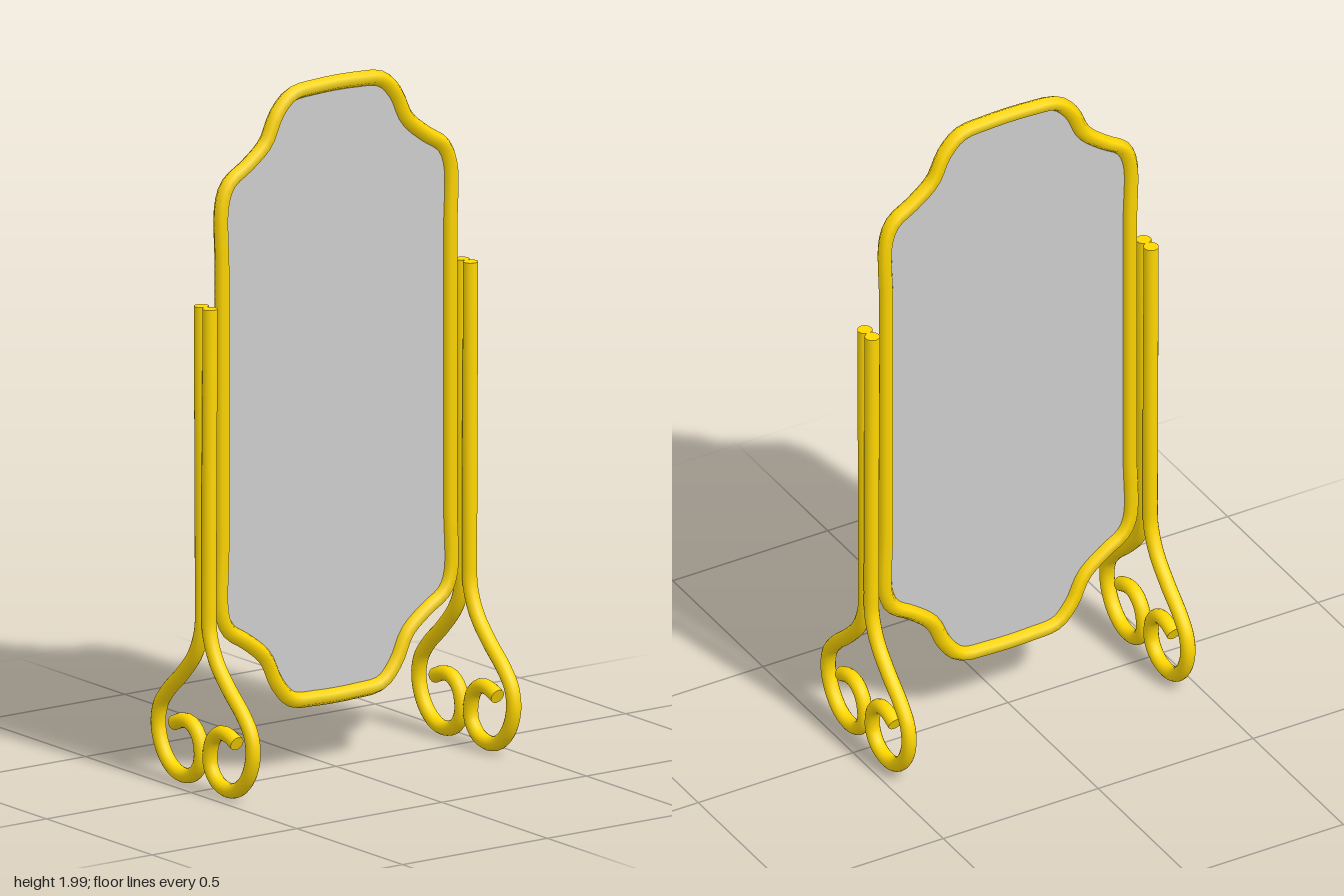
import * as THREE from 'three';
import { ParametricGeometry } from 'three/addons/geometries/ParametricGeometry.js';

const gold = new THREE.MeshStandardMaterial({ color: 0xffd700 });
const grey = new THREE.MeshStandardMaterial({ color: 0xcccccc, side: THREE.DoubleSide });

// Upper right quarter and lower right quarter of the frame outline, as [z, y]
const UPPER = [[0.394, 1.2], [0.394, 1.5], [0.394, 1.69], [0.37, 1.745], [0.31, 1.785], [0.245, 1.84],
  [0.205, 1.92], [0.155, 1.967], [0.07, 1.978]];
const LOWER = [[0.07, 0.217], [0.155, 0.227], [0.205, 0.28], [0.245, 0.36], [0.31, 0.415], [0.37, 0.455],
  [0.394, 0.505], [0.394, 0.7], [0.394, 0.95]];

// One scrolled rod of the stand, from its top down to the curl, as [x, y]
const ROD = [[0.0205, 1.4], [0.0195, 1.2], [0.017, 0.95], [0.016, 0.7], [0.0155, 0.55], [0.019, 0.465],
  [0.05, 0.39], [0.11, 0.322], [0.178, 0.26], [0.215, 0.21], [0.224, 0.15], [0.2, 0.085], [0.155, 0.043],
  [0.105, 0.031], [0.055, 0.045], [0.025, 0.08], [0.021, 0.12], [0.036, 0.163], [0.07, 0.188],
  [0.11, 0.188], [0.148, 0.173]];

function addMesh(parent, name, geometry, material) {
  const mesh = new THREE.Mesh(geometry, material);
  mesh.name = name;
  parent.add(mesh);
  return mesh;
}

function outlineCurve() {
  const mirror = (list) => list.map(([z, y]) => [-z, y]).reverse();
  const loop = [...UPPER, ...mirror(UPPER), ...mirror(LOWER), ...LOWER];
  return new THREE.CatmullRomCurve3(loop.map(([z, y]) => new THREE.Vector3(0, y, z)), true);
}

// Six-sided bar swept round a closed curve in the yz plane, one corner facing outward
function frameGeometry(curve, radius) {
  const p = new THREE.Vector3();
  const t = new THREE.Vector3();
  return new ParametricGeometry((u, v, target) => {
    curve.getPointAt(v, p);
    curve.getTangentAt(v, t);
    const out = radius * Math.cos(u * Math.PI * 2);
    target.set(radius * Math.sin(u * Math.PI * 2), p.y - t.z * out, p.z + t.y * out);
  }, 6, 180);
}

// Round rod with closed ends
function addRod(parent, side, radius) {
  const rod = new THREE.Group();
  rod.name = side > 0 ? 'leftScrollRod' : 'rightScrollRod';
  const curve = new THREE.CatmullRomCurve3(ROD.map(([x, y]) => new THREE.Vector3(side * x, y, 0)));
  addMesh(rod, 'rod', new THREE.TubeGeometry(curve, 110, radius, 16), gold);
  for (const end of [0, 1]) {
    const cap = addMesh(rod, 'rodEnd', new THREE.CircleGeometry(radius, 16), gold);
    const direction = curve.getTangentAt(end).multiplyScalar(end ? 1 : -1);
    cap.position.copy(curve.getPointAt(end));
    cap.quaternion.setFromUnitVectors(new THREE.Vector3(0, 0, 1), direction);
  }
  parent.add(rod);
}

export function createModel() {
  const model = new THREE.Group();
  model.name = 'standingMirror';

  // Mirror panel and its frame
  const outline = outlineCurve();
  addMesh(model, 'mirrorFrame', frameGeometry(outline, 0.0225), gold);
  const shape = new THREE.Shape(outline.getSpacedPoints(180).slice(0, -1).map((p) => new THREE.Vector2(p.z, p.y)));
  addMesh(model, 'mirrorGlass', new THREE.ShapeGeometry(shape).rotateY(-Math.PI / 2), grey);

  // A stand of two mirrored rods on each side of the mirror
  for (const end of [1, -1]) {
    const stand = new THREE.Group();
    stand.name = end > 0 ? 'frontStand' : 'backStand';
    stand.position.z = end * 0.45;
    for (const side of [1, -1]) addRod(stand, side, 0.0215);
    model.add(stand);
  }

  // Rest the feet on the ground
  const box = new THREE.Box3().setFromObject(model, true);
  model.children.forEach((part) => { part.position.y -= box.min.y; });
  return model;
}
